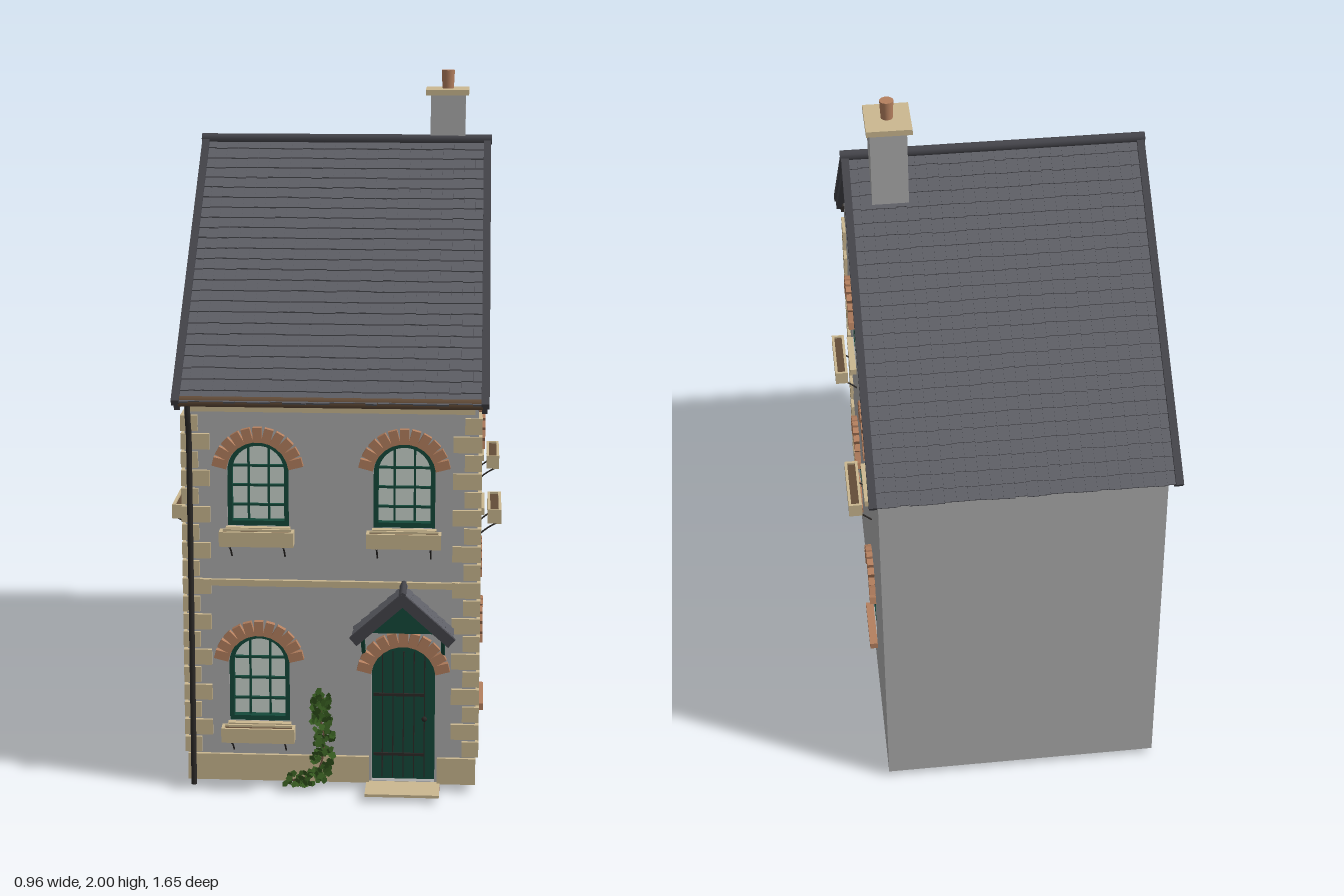
import * as THREE from 'three';
import { mergeGeometries } from 'three/addons/utils/BufferGeometryUtils.js';

const mat = (name, color, side = THREE.FrontSide) => {
  const m = new THREE.MeshStandardMaterial({ color, side });
  m.name = name;
  return m;
};

export function createModel() {
  const M = {
    render: mat('render', 0xacacac), slate: mat('slate', 0x5e5f66), trim: mat('slateTrim', 0x45454b),
    stone: mat('stone', 0xcbb890), brick: mat('brick', 0xb5805f), green: mat('greenPaint', 0x14493a),
    glass: mat('glass', 0xccd6cf), leaf: mat('leaf', 0x35591f, THREE.DoubleSide),
    iron: mat('iron', 0x2c2927), wood: mat('wood', 0x634c38),
  };
  let seed = 7;
  const rnd = () => (seed = (seed * 16807) % 2147483647) / 2147483647;

  const house = new THREE.Group();
  house.name = 'house';
  const add = (parent, name, geo, material, x = 0, y = 0, z = 0) => {
    const m = new THREE.Mesh(geo, material);
    m.name = name;
    m.position.set(x, y, z);
    parent.add(m);
    return m;
  };
  // Box given by its limits on each axis
  const block = (parent, name, material, x0, x1, y0, y1, z0, z1) =>
    add(parent, name, new THREE.BoxGeometry(x1 - x0, y1 - y0, z1 - z0), material,
      (x0 + x1) / 2, (y0 + y1) / 2, (z0 + z1) / 2);
  const group = (parent, name, x = 0, y = 0, z = 0, ry = 0) => {
    const g = new THREE.Group();
    g.name = name;
    g.position.set(x, y, z);
    g.rotation.set(0, ry, 0, 'YXZ');
    parent.add(g);
    return g;
  };
  const extrude = (shape, depth) =>
    new THREE.ExtrudeGeometry(shape, { depth, bevelEnabled: false, curveSegments: 14 });
  const tube = (pts, r, n = 16) =>
    new THREE.TubeGeometry(new THREE.CatmullRomCurve3(pts.map(p => new THREE.Vector3(...p))), n, r, 6);
  const arch = (w, bottom, spring, x = 0, Kind = THREE.Shape) => {
    const s = new Kind();
    s.moveTo(x - w, bottom);
    s.lineTo(x + w, bottom);
    s.lineTo(x + w, spring);
    s.absarc(x, spring, w, 0, Math.PI, false);
    s.closePath();
    return s;
  };
  // Wall panel with arched openings, outer face at local z = 0
  const wall = (parent, name, outline, openings) => {
    const s = new THREE.Shape(outline.map(p => new THREE.Vector2(...p)));
    openings.forEach(o => s.holes.push(arch(o.w, o.b, o.s, o.x, THREE.Path)));
    add(parent, name, extrude(s, 0.05), M.render, 0, 0, -0.05);
  };

  // Ring of bricks over an opening
  function brickArch(parent, spring, r) {
    const bricks = [], n = 11;
    for (let i = 0; i < n; i++) {
      const a = 0.12 + (Math.PI - 0.24) * (i + 0.5) / n;
      const g = new THREE.BoxGeometry(0.042, (r + 0.012) * 2.9 / n * 0.98, 0.03);
      g.rotateZ(a);
      const d = r + 0.022;
      g.translate(Math.cos(a) * d, spring + Math.sin(a) * d, 0.004);
      bricks.push(g);
    }
    add(parent, 'brickArch', mergeGeometries(bricks), M.brick);
  }

  function planter(parent, y) {
    const g = group(parent, 'planter', 0, y, 0);
    block(g, 'windowSill', M.stone, -0.09, 0.09, 0.022, 0.042, -0.03, 0.02);
    block(g, 'planterBase', M.stone, -0.1, 0.1, 0, 0.03, 0.032, 0.068);
    for (const z of [0.032, 0.064]) block(g, 'planterSide', M.stone, -0.104, 0.104, 0, 0.042, z - 0.003, z + 0.005);
    for (const s of [-1, 1]) {
      block(g, 'planterEnd', M.stone, s * 0.1 - 0.004, s * 0.1 + 0.004, 0, 0.042, 0.03, 0.068);
      add(g, 'planterBracket', tube([[s * 0.075, -0.045, 0], [s * 0.075, -0.02, 0.03], [s * 0.075, 0, 0.066]], 0.0025, 6), M.iron);
    }
    block(g, 'soil', M.wood, -0.096, 0.096, 0.03, 0.036, 0.036, 0.062);
  }

  function windowUnit(parent, o) {
    const g = group(parent, 'window', o.x, 0, 0);
    add(g, 'windowGlass', extrude(arch(o.w, o.b, o.s), 0.004), M.glass, 0, 0, -0.032);
    const ring = arch(o.w, o.b, o.s);
    ring.holes.push(arch(o.w - 0.013, o.b + 0.014, o.s, 0, THREE.Path));
    add(g, 'windowFrame', extrude(ring, 0.027), M.green, 0, 0, -0.03);
    for (const s of [-1, 1]) {
      const x = s * o.w * 0.33;
      block(g, 'glazingBar', M.green, x - 0.003, x + 0.003, o.b, o.s + o.w * 0.9, -0.03, -0.018);
    }
    for (let i = 1; i < 4; i++) {
      const y = o.b + (o.s + 0.012 - o.b) * i / 3;
      block(g, 'glazingRail', M.green, 0.004 - o.w, o.w - 0.004, y - 0.003, y + 0.003, -0.03, -0.018);
    }
    brickArch(g, o.s, o.w);
    if (o.box) planter(g, o.b - 0.043);
    else block(g, 'brickSill', M.brick, -0.095, 0.095, o.b - 0.02, o.b, -0.03, 0.024);
  }

  // Front wall
  const front = group(house, 'front', 0, 0, 0.71);
  const frontWindows = [
    { x: -0.205, w: 0.086, b: 0.778, s: 0.935, box: true },
    { x: 0.205, w: 0.086, b: 0.778, s: 0.935, box: true },
    { x: -0.205, w: 0.086, b: 0.2, s: 0.372, box: true }];
  const doorway = { x: 0.205, w: 0.09, b: 0.025, s: 0.343 };
  wall(front, 'frontWall', [[-0.36, 0.02], [0.36, 0.02], [0.36, 1.15], [-0.36, 1.15]], [...frontWindows, doorway]);
  frontWindows.forEach(o => windowUnit(front, o));
  block(front, 'plinth', M.stone, -0.412, 0.108, 0.022, 0.1, -0.02, 0.01);
  block(front, 'plinth', M.stone, 0.302, 0.412, 0.022, 0.1, -0.02, 0.01);
  block(front, 'stringCourse', M.stone, -0.36, 0.36, 0.604, 0.622, -0.01, 0.012);
  block(front, 'eavesBand', M.stone, -0.4, 0.4, 1.108, 1.128, -0.01, 0.014);

  // Door
  const door = group(front, 'door', 0.205, 0, 0);
  add(door, 'doorPanel', extrude(arch(0.09, 0.025, 0.343), 0.01), M.green, 0, 0, -0.03);
  for (let i = -2; i <= 2; i++) block(door, 'doorGroove', M.iron, i * 0.03 - 0.0015, i * 0.03 + 0.0015, 0.03, 0.41, -0.022, -0.018);
  for (const y of [0.1, 0.28]) block(door, 'doorStrap', M.iron, -0.085, 0.06, y - 0.004, y + 0.004, -0.022, -0.015);
  add(door, 'doorHandle', new THREE.SphereGeometry(0.008, 10, 8), M.iron, 0.06, 0.21, -0.012);
  brickArch(door, 0.343, 0.09);
  block(door, 'stepBase', M.brick, -0.105, 0.105, 0, 0.018, -0.03, 0.02);
  block(door, 'doorStep', M.stone, -0.105, 0.105, 0.016, 0.024, -0.03, 0.1);

  // Side walls, windows and corner stones
  for (const s of [-1, 1]) {
    const side = group(house, s > 0 ? 'leftSide' : 'rightSide', s * 0.41, 0, 0, s * Math.PI / 2);
    const wins = [0.39, -0.265].flatMap(z => [
      { x: -s * z, w: 0.077, b: 0.778, s: 0.942, box: true },
      { x: -s * z, w: 0.077, b: 0.182, s: 0.36 }]);
    wall(side, 'gableWall', [[0.71, 0.02], [0.71, 1.153], [-0.02, 1.755], [-0.755, 1.165], [-0.755, 0.02]]
      .map(([z, y]) => [-s * z, y]), wins);
    wins.forEach(o => windowUnit(side, o));
    const stones = [];
    for (let i = 0; i < 19; i++) {
      const long = i % 2, w = long ? 0.07 : 0.038, d = long ? 0.045 : 0.082;
      const g = new THREE.BoxGeometry(w + 0.01, 0.045, d + 0.01);
      g.translate(s * (0.42 - (w + 0.01) / 2), 0.128 + i * 0.0525, 0.72 - (d + 0.01) / 2);
      stones.push(g);
    }
    add(house, 'cornerStones', mergeGeometries(stones), M.stone);
  }
  block(house, 'backWall', M.render, -0.36, 0.36, 0.02, 1.165, -0.755, -0.705);

  // Slope of overlapping slates; local z runs down the slope
  function slope(parent, name, len, width, rows, cols, angle, thick) {
    parent.rotation.x = angle;
    block(parent, name + 'Deck', M.trim, -width / 2, width / 2, -thick, -0.006, 0, len - 0.01);
    const tiles = [], dz = len / rows, dx = width / cols;
    for (let r = 0; r < rows; r++) for (let c = 0; c < cols; c++) {
      const l = dz * 1.25, extra = rnd() * 0.004;
      const g = new THREE.BoxGeometry(dx * 0.99, 0.006, l + extra);
      g.rotateX(-0.1);
      g.translate((c + 0.5) * dx - width / 2, -0.004, (r + 1) * dz - (l - extra) / 2);
      tiles.push(g);
    }
    add(parent, name + 'Slates', mergeGeometries(tiles), M.slate);
  }

  // Main roof
  for (const [ry, len, angle] of [[0, 1.02, 0.69], [Math.PI, 1.022, 0.676]]) {
    const g = group(house, ry ? 'backRoof' : 'frontRoof', 0, 1.795, -0.02, ry);
    slope(g, 'roof', len, 0.85, 25, 26, angle, 0.03);
    for (const s of [-1, 1]) {
      block(g, 'vergeBoard', M.trim, s * 0.425 - 0.008, s * 0.425 + 0.008, -0.04, -0.012, 0, len);
      block(g, 'vergeCap', M.trim, s * 0.427 - 0.011, s * 0.427 + 0.011, -0.014, 0.008, 0, len + 0.004);
    }
  }
  const ridge = new THREE.CylinderGeometry(0.015, 0.015, 0.88, 10);
  ridge.rotateZ(Math.PI / 2);
  add(house, 'ridge', ridge, M.trim, 0, 1.795, -0.02);

  // Gutter and downpipe
  const gutter = new THREE.CylinderGeometry(0.015, 0.015, 0.84, 10);
  gutter.rotateZ(Math.PI / 2);
  add(house, 'gutter', gutter, M.wood, 0, 1.143, 0.752);
  block(house, 'fascia', M.iron, -0.42, 0.42, 1.128, 1.15, 0.7, 0.74);
  add(house, 'downpipe', tube([[-0.395, 1.14, 0.752], [-0.395, 1.1, 0.75], [-0.395, 1.04, 0.73],
    [-0.395, 0.95, 0.728], [-0.395, 0.5, 0.728], [-0.395, 0.01, 0.728]], 0.008, 40), M.iron);

  // Chimney
  block(house, 'chimneyStack', M.render, 0.255, 0.36, 1.69, 1.93, -0.14, -0.012);
  block(house, 'chimneyCap', M.stone, 0.24, 0.37, 1.928, 1.945, -0.15, 0);
  add(house, 'chimneyPot', new THREE.CylinderGeometry(0.02, 0.017, 0.06, 16), M.brick, 0.306, 1.97, -0.075);

  // Porch canopy
  for (const s of [-1, 1]) {
    const g = group(house, 'porchRoof', 0.205, 0.615, 0.768, s * Math.PI / 2);
    slope(g, 'porch', 0.188, 0.11, 6, 6, 0.73, 0.02);
    block(g, 'porchVerge', M.trim, -s * 0.055 - 0.006, -s * 0.055 + 0.006, -0.024, 0.006, 0, 0.192);
    add(house, 'porchBracket', tube([[0.205 + s * 0.112, 0.41, 0.712], [0.205 + s * 0.112, 0.435, 0.745],
      [0.205 + s * 0.112, 0.5, 0.8]], 0.006, 8), M.green);
    block(house, 'porchBeam', M.green, 0.205 + s * 0.112 - 0.006, 0.205 + s * 0.112 + 0.006, 0.486, 0.5, 0.71, 0.815);
  }
  const porchRidge = new THREE.CylinderGeometry(0.01, 0.01, 0.12, 8);
  porchRidge.rotateX(Math.PI / 2);
  add(house, 'porchRidge', porchRidge, M.trim, 0.205, 0.615, 0.768);
  const gable = new THREE.Shape([[-0.1, 0], [0.1, 0], [0, 0.092]].map(p => new THREE.Vector2(...p)));
  add(house, 'porchGable', extrude(gable, 0.01), M.green, 0.205, 0.5, 0.795);

  // Climbing plant
  const stem = [[-0.11, 0.03, 0.735], [-0.04, 0.06, 0.74], [-0.02, 0.14, 0.728], [-0.03, 0.22, 0.722], [-0.025, 0.29, 0.722]];
  add(house, 'vineStem', tube(stem, 0.003, 24), M.wood);
  const path = new THREE.CatmullRomCurve3(stem.map(p => new THREE.Vector3(...p)));
  const leaves = [];
  for (let i = 0; i < 170; i++) {
    const t = rnd(), p = path.getPoint(t), spread = 0.07 * (1 - 0.35 * t);
    const g = new THREE.CircleGeometry(0.008 + rnd() * 0.005, 5);
    g.rotateZ(rnd() * 6);
    g.rotateX(rnd() * 1.4 - 0.9);
    g.rotateY(rnd() * 1.6 - 0.8);
    g.translate(p.x + (rnd() - 0.5) * spread, Math.max(0.022, p.y + (rnd() - 0.5) * 0.05), p.z + rnd() * 0.018);
    leaves.push(g);
  }
  add(house, 'vineLeaves', mergeGeometries(leaves), M.leaf);

  // Interior seen through the open base
  block(house, 'ceiling', M.brick, -0.36, 0.36, 0.56, 0.59, -0.705, 0.66);
  block(house, 'hallFloor', M.brick, -0.36, 0.36, 0.03, 0.045, 0.28, 0.66);
  block(house, 'crossPartition', M.brick, -0.36, 0.36, 0.03, 0.56, -0.02, 0.02);
  block(house, 'longPartition', M.brick, -0.02, 0.02, 0.03, 0.56, 0.02, 0.28);
  for (const s of [-1, 1]) block(house, 'wallLining', M.brick, s * 0.355 - 0.005, s * 0.355 + 0.005, 0.04, 0.56, -0.7, 0.66);
  block(house, 'backLining', M.brick, -0.35, 0.35, 0.04, 0.56, -0.705, -0.695);
  return house;
}
